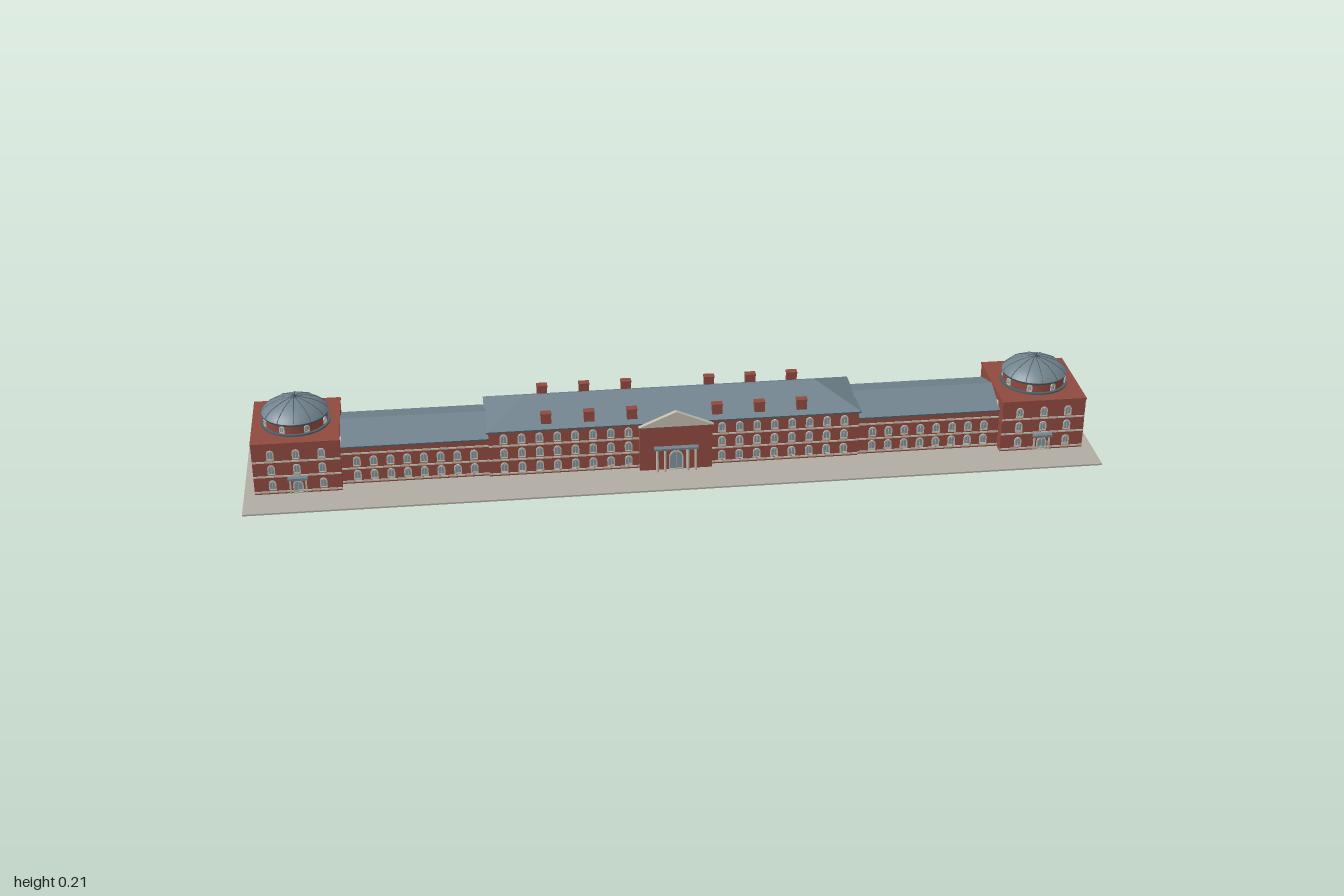
import * as THREE from 'three';
import { mergeGeometries } from 'three/addons/utils/BufferGeometryUtils.js';

const mat = (name, color, side = THREE.FrontSide) => {
  const m = new THREE.MeshStandardMaterial({ color, side });
  m.name = name;
  return m;
};

export function createModel() {
  const brick = mat('brick', 0x8f4a3f);
  const slate = mat('slate', 0x70828d);
  const darkSlate = mat('darkSlate', 0x505e67);
  const stone = mat('stone', 0xc2bcae);
  const paving = mat('paving', 0xb0aca3);
  const glass = mat('glass', 0x7f939f, THREE.DoubleSide);
  const root = new THREE.Group();
  root.name = 'longBrickHall';

  const add = (parent, name, geo, material, x = 0, y = 0, z = 0) => {
    const m = new THREE.Mesh(geo, material);
    m.name = name;
    m.position.set(x, y, z);
    parent.add(m);
    return m;
  };
  // Box given by its min and max corners
  const box = (parent, name, material, x0, x1, y0, y1, z0, z1) =>
    add(parent, name, new THREE.BoxGeometry(x1 - x0, y1 - y0, z1 - z0), material,
      (x0 + x1) / 2, (y0 + y1) / 2, (z0 + z1) / 2);

  // Pitched roof: a box whose top edge is pinched into a ridge
  const roof = (parent, name, x0, x1, y0, y1, z0, z1, ridgeRatio) => {
    const g = new THREE.BoxGeometry(x1 - x0, y1 - y0, z1 - z0).toNonIndexed();
    const p = g.attributes.position;
    for (let i = 0; i < p.count; i++) {
      if (p.getY(i) > 0) p.setXYZ(i, p.getX(i) * ridgeRatio, p.getY(i), 0);
    }
    g.computeVertexNormals();
    add(parent, name, g, slate, (x0 + x1) / 2, (y0 + y1) / 2, (z0 + z1) / 2);
  };

  // Round-headed opening outline, foot at the origin
  const arch = (Type, w, h, inset = 0) => {
    const s = new Type(), r = w / 2 - inset;
    s.moveTo(-r, inset);
    s.lineTo(r, inset);
    s.lineTo(r, h - w / 2);
    s.absarc(0, h - w / 2, r, 0, Math.PI, false);
    s.closePath();
    return s;
  };
  // Windows are placed by position and turn, then merged by material
  const windows = (parent, list, w, h) => {
    const ring = arch(THREE.Shape, w, h);
    ring.holes.push(arch(THREE.Path, w, h, 0.0028));
    const frame = new THREE.ExtrudeGeometry(ring, { depth: 0.003, bevelEnabled: false, curveSegments: 5 });
    const pane = new THREE.ShapeGeometry(arch(THREE.Shape, w, h, 0.0028), 5);
    pane.translate(0, 0, 0.001);
    const bar = new THREE.BoxGeometry(0.0012, h - 0.003, 0.001);
    bar.translate(0, h / 2, 0.0015);
    const place = (g) => mergeGeometries(list.map(([x, y, z, turn]) => {
      const c = g.index ? g.toNonIndexed() : g.clone();
      return c.rotateY(turn).translate(x, y, z);
    }));
    add(parent, 'windowFrames', place(frame), stone);
    add(parent, 'windowPanes', place(pane), glass);
    add(parent, 'windowBars', place(bar), stone);
  };
  const bands = (parent, x0, x1, zBack, zFront, heights) => {
    for (const y of heights) {
      box(parent, 'frontBand', stone, x0, x1, y, y + 0.004, zFront - 0.002, zFront + 0.002);
      box(parent, 'backBand', stone, x0, x1, y, y + 0.004, zBack - 0.002, zBack + 0.002);
    }
  };
  const doorway = (parent, x, z, w, h) => {
    const g = new THREE.Group();
    g.name = 'doorway';
    g.position.set(x, 0.004, z);
    parent.add(g);
    windows(g, [[0, 0, 0, 0]], w, h);
    for (const s of [-1, 1]) box(g, 'doorPost', stone, s * w * 0.75 - 0.002, s * w * 0.75 + 0.002, 0, h + 0.002, 0, 0.004);
    return g;
  };

  box(root, 'pavedBase', paving, -1, 1, 0, 0.004, -0.165, 0.165);

  // Main block
  const main = new THREE.Group();
  main.name = 'mainBlock';
  root.add(main);
  const F = 0.055, B = -0.12;
  box(main, 'mainWalls', brick, -0.435, 0.435, 0.004, 0.119, B, F);
  box(main, 'mainCornice', darkSlate, -0.44, 0.44, 0.118, 0.122, B - 0.004, F + 0.004);
  roof(main, 'mainHipRoof', -0.44, 0.44, 0.122, 0.167, B - 0.004, F + 0.004, 0.78);
  bands(main, -0.435, 0.435, B, F, [0.008, 0.044, 0.081]);
  const mainList = [];
  for (const s of [-1, 1]) {
    for (let i = 0; i < 8; i++) {
      for (const y of [0.014, 0.051, 0.088]) {
        const x = s * (0.11 + i * 0.0415);
        mainList.push([x, y, F, 0], [x, y, B, Math.PI]);
      }
    }
    // Chimneys along both slopes
    for (const x of [0.1, 0.2, 0.3]) {
      for (const z of [0.037, -0.106]) {
        box(main, 'chimney', brick, s * x - 0.012, s * x + 0.012, 0.125, 0.153, z - 0.008, z + 0.008);
        box(main, 'chimneyCap', brick, s * x - 0.013, s * x + 0.013, 0.151, 0.155, z - 0.009, z + 0.009);
      }
    }
  }
  windows(main, mainList, 0.018, 0.025);

  // Central entrance pavilion
  const pavilion = new THREE.Group();
  pavilion.name = 'entrancePavilion';
  root.add(pavilion);
  box(pavilion, 'pavilionWalls', brick, -0.085, 0.085, 0.004, 0.119, F, 0.07);
  const tri = new THREE.Shape([[-0.088, 0], [0.088, 0], [0, 0.038]].map(([x, y]) => new THREE.Vector2(x, y)));
  add(pavilion, 'pediment', new THREE.ExtrudeGeometry(tri, { depth: 0.011, bevelEnabled: false }), stone, 0, 0.119, 0.064);
  box(pavilion, 'entranceCanopy', slate, -0.052, 0.052, 0.061, 0.066, 0.07, 0.084);
  for (const x of [-0.045, -0.027, 0.027, 0.045]) {
    add(pavilion, 'porchColumn', new THREE.CylinderGeometry(0.003, 0.003, 0.057, 8), stone, x, 0.0325, 0.08);
  }
  doorway(pavilion, 0, 0.07, 0.034, 0.05);

  // Wings and end towers, mirrored about the centre
  for (const s of [-1, 1]) {
    const wing = new THREE.Group();
    wing.name = s > 0 ? 'leftWing' : 'rightWing';
    root.add(wing);
    const x0 = s > 0 ? 0.435 : -0.776, x1 = x0 + 0.341;
    const wf = 0.05, wb = -0.115;
    box(wing, 'wingWalls', brick, x0, x1, 0.004, 0.1, wb, wf);
    box(wing, 'wingCornice', darkSlate, x0, x1, 0.099, 0.103, wb - 0.005, wf + 0.005);
    roof(wing, 'wingRoof', x0, x1, 0.103, 0.131, wb - 0.005, wf + 0.005, 1);
    bands(wing, x0, x1, wb, wf, [0.008, 0.042, 0.081]);
    const list = [];
    for (let i = 0; i < 8; i++) {
      for (const y of [0.014, 0.05]) {
        const x = s * (0.47 + i * 0.0385);
        list.push([x, y, wf, 0], [x, y, wb, Math.PI]);
      }
    }
    windows(wing, list, 0.018, 0.025);

    const tower = new THREE.Group();
    tower.name = s > 0 ? 'leftTower' : 'rightTower';
    tower.position.set(s * 0.875, 0, -0.027);
    root.add(tower);
    const hx = 0.1, hz = 0.105;
    box(tower, 'towerWalls', brick, -hx, hx, 0.004, 0.133, -hz, hz);
    box(tower, 'towerCoping', brick, -hx - 0.001, hx + 0.001, 0.132, 0.136, -hz - 0.002, hz + 0.002);
    bands(tower, -hx, hx, -hz, hz, [0.008, 0.048, 0.086]);
    const tl = [];
    for (const u of [-0.058, 0, 0.058]) {
      for (const y of [0.015, 0.055, 0.093]) {
        if (u !== 0 || y > 0.02) tl.push([u, y, hz, 0]);
        tl.push([u, y, -hz, Math.PI], [s * hx, y, u, s * Math.PI / 2]);
        // Inner side shows only above the wing roof and beside it
        if (u === 0.058 && y > 0.09) tl.push([-s * hx, y, u, -s * Math.PI / 2]);
      }
    }
    windows(tower, tl, 0.017, 0.025);
    doorway(tower, 0, hz, 0.024, 0.033);
    box(tower, 'doorCanopy', slate, -0.023, 0.023, 0.041, 0.047, hz, hz + 0.012);

    // Round drum with arched lights
    add(tower, 'drumFoot', new THREE.CylinderGeometry(0.08, 0.08, 0.004, 32), darkSlate, 0, 0.138, 0);
    add(tower, 'drum', new THREE.CylinderGeometry(0.073, 0.073, 0.026, 32), brick, 0, 0.15, 0);
    const dl = [];
    for (let i = 0; i < 8; i++) {
      const a = (i + 0.5) * Math.PI / 4;
      dl.push([Math.sin(a) * 0.0725, 0.141, Math.cos(a) * 0.0725, a]);
    }
    windows(tower, dl, 0.013, 0.018);
    add(tower, 'domeEave', new THREE.CylinderGeometry(0.078, 0.076, 0.005, 32), darkSlate, 0, 0.1625, 0);

    // Dome, ribs and finial
    const profile = [[0.077, 0.165], [0.069, 0.174], [0.056, 0.183], [0.038, 0.191], [0.018, 0.197], [0, 0.2]];
    add(tower, 'dome', new THREE.LatheGeometry(profile.map(([r, y]) => new THREE.Vector2(r, y)), 32), slate);
    const ribPath = new THREE.CatmullRomCurve3(profile.map(([r, y]) => new THREE.Vector3(r, y, 0)));
    const rib = new THREE.TubeGeometry(ribPath, 10, 0.001, 5);
    for (let i = 0; i < 12; i++) {
      add(tower, 'domeRib', rib, darkSlate).rotation.y = i * Math.PI / 6;
    }
    add(tower, 'finial', new THREE.CylinderGeometry(0.003, 0.006, 0.008, 10), darkSlate, 0, 0.202, 0);
  }
  return root;
}
